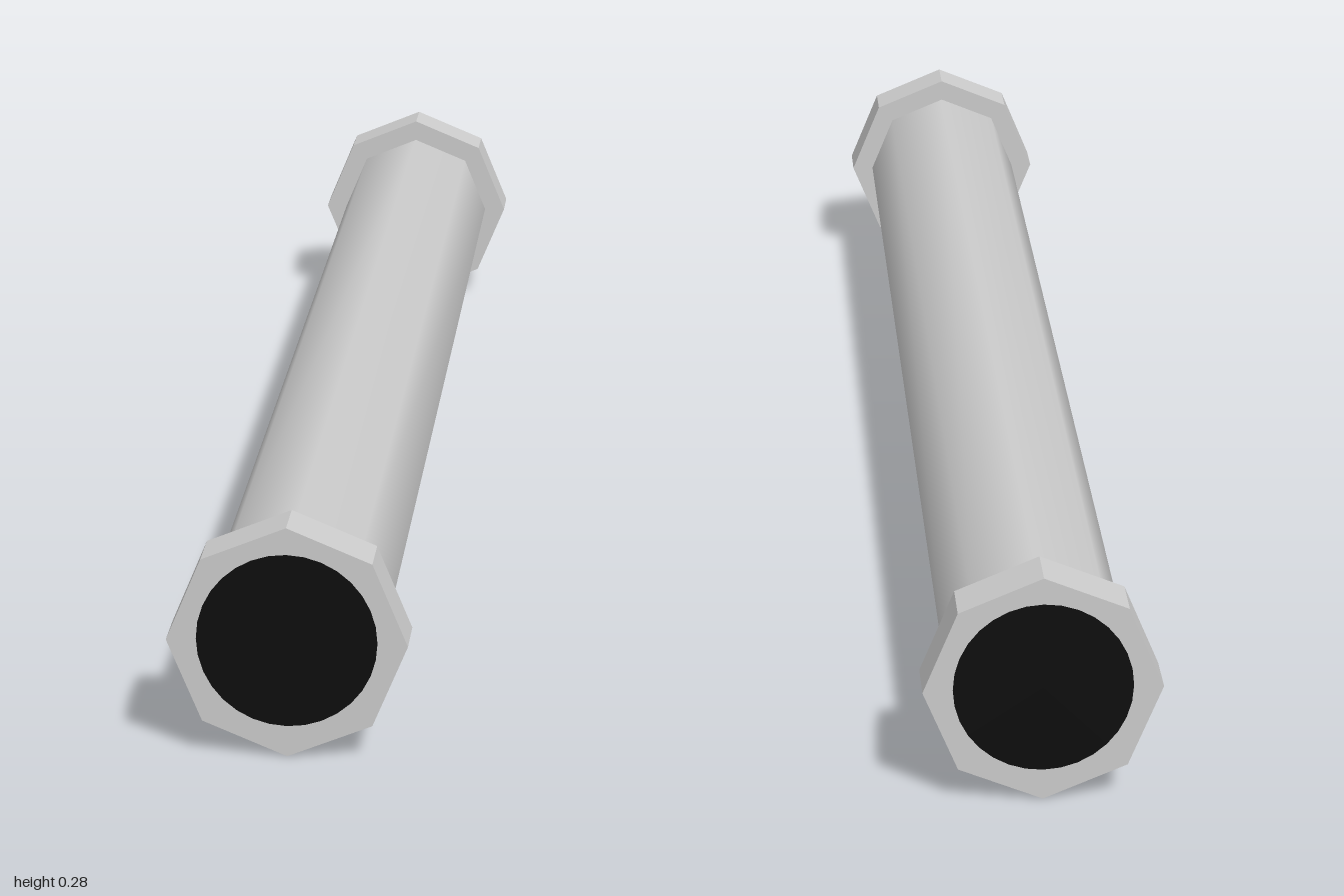
import * as THREE from 'three';

export function createModel() {
  const model = new THREE.Group();
  model.name = 'flangedPipe';

  const steel = new THREE.MeshStandardMaterial({ color: 0xcccccc });
  steel.name = 'light grey steel';
  const black = new THREE.MeshStandardMaterial({ color: 0x0c0c0c });
  black.name = 'black opening';

  const axisY = 0.14;
  const add = (geometry, material, name, y, z) => {
    const mesh = new THREE.Mesh(geometry, material);
    mesh.name = name;
    mesh.position.set(0, y, z);
    model.add(mesh);
  };

  // Pipe: eight sides with smooth normals, running along z
  const pipe = new THREE.CylinderGeometry(0.11, 0.11, 1.9, 8, 1, true).rotateX(Math.PI / 2);
  add(pipe, steel, 'pipe', axisY, 0);

  // Octagonal flange with crisp edges, a corner pointing up
  const flange = new THREE.CylinderGeometry(0.14, 0.14, 0.064, 8)
    .rotateX(Math.PI / 2).toNonIndexed();
  flange.computeVertexNormals();

  // Both ends: flange plus the painted dark opening
  for (const [end, side] of [['front', 1], ['back', -1]]) {
    add(flange, steel, end + 'Flange', axisY, side * 0.967);
    const opening = new THREE.CircleGeometry(0.105, 32);
    if (side < 0) opening.rotateY(Math.PI);
    add(opening, black, end + 'Opening', axisY + 0.003, side);
  }
  return model;
}
